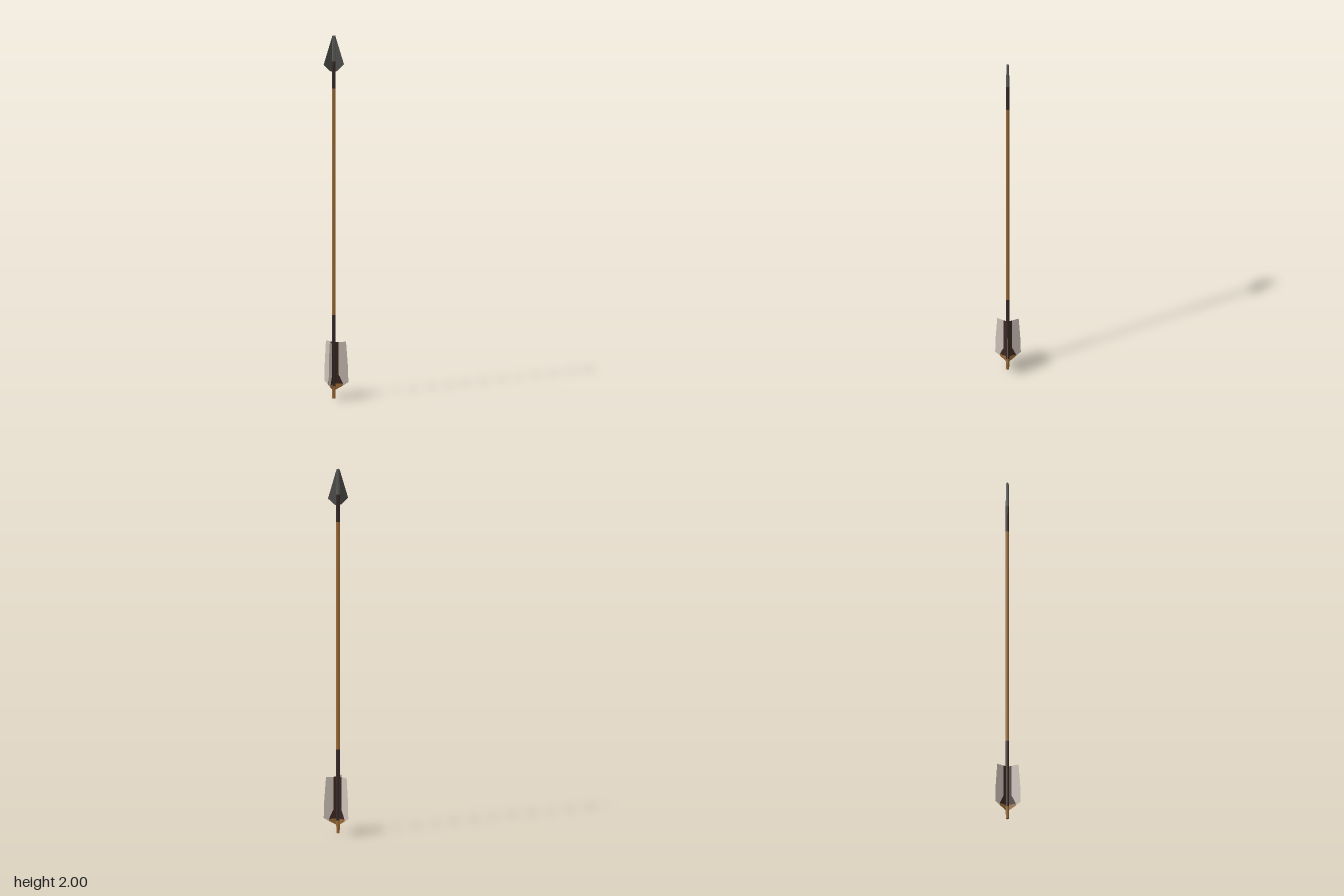
import * as THREE from 'three';

const mat = (name, color, flatShading = true) => {
  const m = new THREE.MeshStandardMaterial({ color, flatShading, side: THREE.DoubleSide });
  m.name = name;
  return m;
};

export function createModel() {
  const wood = mat('wood', 0x9c6c38);
  const binding = mat('dark binding', 0x382a28);
  const quillBrown = mat('quill brown', 0x3e2821);
  const feather = mat('pale feather', 0xcfc2b9);
  const ironDark = mat('dark iron', 0x434440);
  const ironLight = mat('light iron', 0x5c5d59);

  const arrow = new THREE.Group();
  arrow.name = 'arrow';
  arrow.position.x = -0.012;

  // Hexagonal rod sections, stacked from the nock to the tip
  const rod = (name, y0, y1, r0, r1, material) => {
    const capped = y0 === 0 || y1 === 2;
    const geo = new THREE.CylinderGeometry(r1, r0, y1 - y0, 6, 1, !capped);
    geo.rotateY(Math.PI / 6);
    const mesh = new THREE.Mesh(geo, material);
    mesh.name = name;
    mesh.position.y = (y0 + y1) / 2;
    arrow.add(mesh);
  };
  rod('nock', 0, 0.07, 0.009, 0.011, wood);
  rod('lowerBinding', 0.07, 0.46, 0.0105, 0.0105, binding);
  rod('shaft', 0.46, 1.71, 0.0105, 0.0105, wood);
  rod('upperBinding', 1.71, 1.86, 0.0105, 0.0105, binding);
  rod('tipSocket', 1.86, 2, 0.0105, 0.008, ironLight);

  // Flat outline in the XY plane
  const plate = (name, points, material, parent) => {
    const shape = new THREE.Shape(points.map(([x, y]) => new THREE.Vector2(x, y)));
    const mesh = new THREE.Mesh(new THREE.ShapeGeometry(shape), material);
    mesh.name = name;
    parent.add(mesh);
  };

  // Arrowhead: two flat blades, one on each side of the rod
  for (const s of [-1, 1]) {
    plate(s < 0 ? 'rightBlade' : 'leftBlade',
      [[0, 1.8], [s * 0.02, 1.805], [s * 0.056, 1.84], [s * 0.008, 2], [0, 2]],
      s < 0 ? ironDark : ironLight, arrow);
  }

  // Three vanes around the shaft, each with a quill and a wooden foot
  for (let i = 0; i < 3; i++) {
    const vane = new THREE.Group();
    vane.name = 'vane' + (i + 1);
    vane.rotation.y = (i * Math.PI * 2) / 3;
    plate('featherPanel',
      [[0.026, 0.31], [0.026, 0.13], [0.034, 0.115], [0.05, 0.08], [0.05, 0.068],
        [0.08, 0.086], [0.077, 0.18], [0.067, 0.31]], feather, vane);
    plate('quill',
      [[0, 0.31], [0, 0.08], [0.05, 0.08], [0.034, 0.115], [0.026, 0.13], [0.026, 0.31]],
      quillBrown, vane);
    plate('foot', [[0, 0.08], [0, 0.048], [0.012, 0.048], [0.05, 0.068], [0.05, 0.08]], wood, vane);
    arrow.add(vane);
  }

  const model = new THREE.Group();
  model.name = 'model';
  model.add(arrow);
  return model;
}
